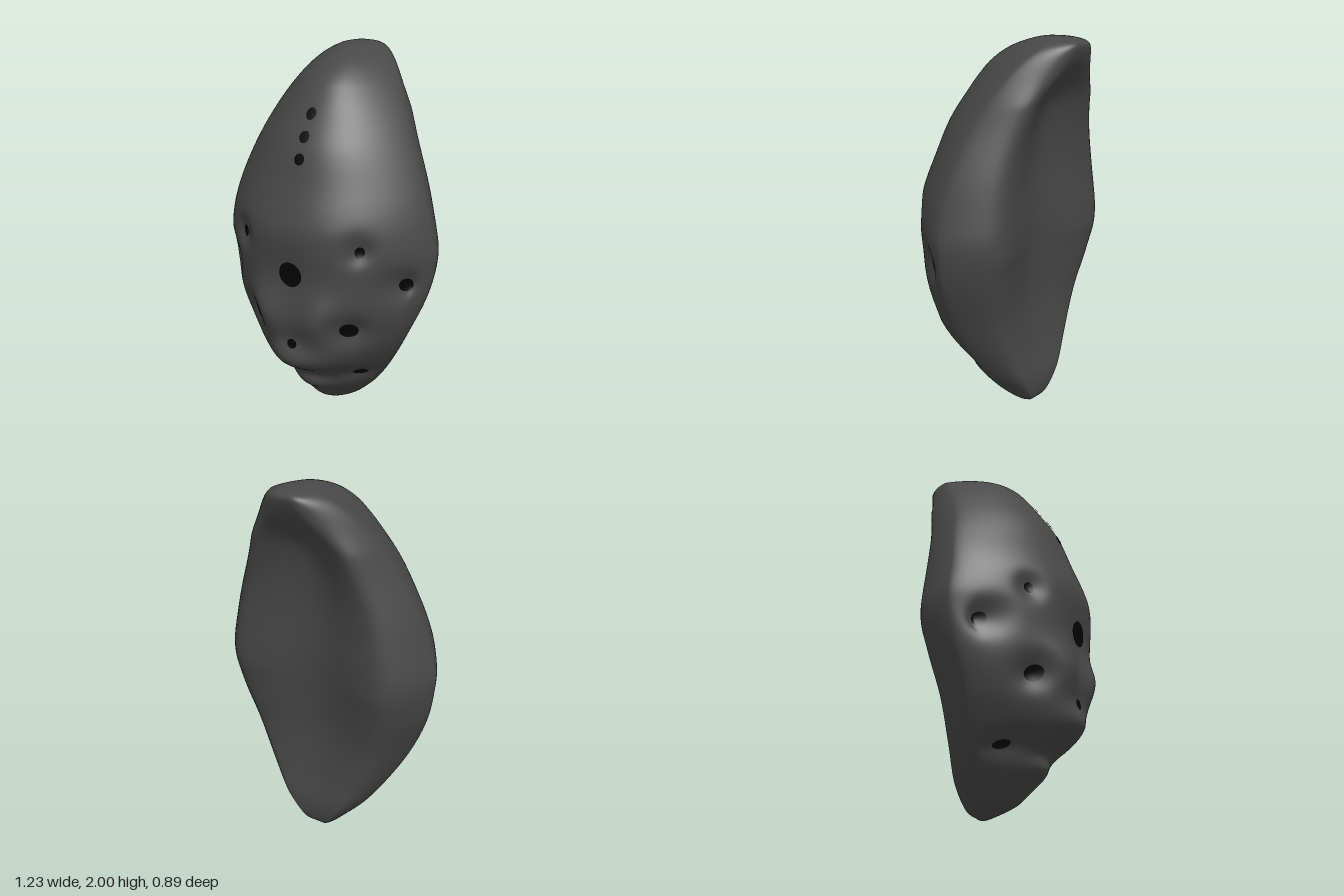
import * as THREE from 'three';

// Smooth curve through [y, value] pairs, eased so that both tips round off
const angle = y => Math.acos(Math.min(1, Math.max(-1, 1 - y)));
function profile(points) {
  const a = points.map(p => angle(p[0])), v = points.map(p => p[1]), n = a.length;
  const slope = i => {
    const lo = Math.max(0, i - 1), hi = Math.min(n - 1, i + 1);
    return (v[hi] - v[lo]) / (a[hi] - a[lo]);
  };
  return y => {
    const s = angle(y);
    let i = 0;
    while (i < n - 2 && s > a[i + 1]) i++;
    const h = a[i + 1] - a[i], t = (s - a[i]) / h, t2 = t * t, t3 = t2 * t;
    return (2 * t3 - 3 * t2 + 1) * v[i] + (t3 - 2 * t2 + t) * h * slope(i)
      + (3 * t2 - 2 * t3) * v[i + 1] + (t3 - t2) * h * slope(i + 1);
  };
}

// Half width, front centre line, rear rim and hollow centre line by height
const halfWidth = profile([[0, 0], [0.02, 0.075], [0.08, 0.15], [0.185, 0.255], [0.33, 0.36], [0.52, 0.47],
  [0.76, 0.575], [0.96, 0.615], [1.08, 0.605], [1.31, 0.545], [1.61, 0.415], [1.79, 0.315], [1.93, 0.2], [1.98, 0.115], [2, 0]]);
const frontLine = profile([[0, -0.13], [0.02, -0.07], [0.07, 0.06], [0.14, 0.125], [0.2, 0.17], [0.3, 0.235], [0.4, 0.315],
  [0.5, 0.38], [0.62, 0.407], [0.82, 0.415], [1.08, 0.44], [1.18, 0.43], [1.37, 0.36], [1.555, 0.29], [1.7, 0.2],
  [1.8, 0.13], [1.86, 0.078], [1.93, -0.02], [1.98, -0.15], [2, -0.28]]);
const rimLine = profile([[0, -0.14], [0.03, -0.19], [0.15, -0.21], [0.33, -0.195], [0.55, -0.195], [0.785, -0.235],
  [0.94, -0.265], [1.29, -0.265], [1.5, -0.285], [1.71, -0.34], [1.87, -0.415], [1.95, -0.445], [1.98, -0.43], [2, -0.32]]);
const hollowLine = profile([[0, -0.14], [0.03, -0.19], [0.15, -0.205], [0.33, -0.18], [0.6, -0.165], [1, -0.195],
  [1.4, -0.205], [1.65, -0.255], [1.8, -0.355], [1.87, -0.412], [1.95, -0.445], [1.98, -0.43], [2, -0.32]]);
const sideLine = y => rimLine(y) + 0.37 * (frontLine(y) - rimLine(y));

// Openings: x, y, radius x, radius y, dimple depth
const openings = [
  [0, 0.915, 0.066, 0.068, 0.015], [0, 0.525, 0.028, 0.026, 0.01],
  [0, 1.5, 0.028, 0.028, 0], [0, 1.605, 0.028, 0.028, 0], [0, 1.71, 0.028, 0.028, 0],
];
for (const s of [-1, 1]) openings.push(
  [s * 0.34, 1.06, 0.022, 0.03, 0.045], [s * 0.51, 0.855, 0.027, 0.037, 0.065],
  [s * 0.277, 0.617, 0.037, 0.042, 0.075], [s * 0.24, 0.29, 0.028, 0.021, 0.035]);

// Soft lumps: x, y, spread x, spread y, height
const lumps = [
  [0, 0.405, 0.14, 0.065, 0.098], [0, 0.3, 0.09, 0.03, -0.01], [0, 0.205, 0.085, 0.034, 0.043],
  [-0.18, 0.67, 0.09, 0.1, 0.06], [0.18, 0.67, 0.09, 0.1, 0.06],
  ...openings.filter(o => o[4]).map(([x, y, rx, ry, d]) => [x, y, rx * 1.2 + 0.018, ry * 1.2 + 0.015, -d]),
];

// Depth of the domed front at any x, y
function frontZ(x, y) {
  const w = Math.max(halfWidth(y), 1e-5), zs = sideLine(y);
  const k = Math.max(0, 1 - Math.abs(x / w) ** 2.2);
  let bump = 0;
  for (const [cx, cy, sx, sy, h] of lumps)
    bump += h * Math.exp(-(((x - cx) / sx) ** 2 + ((y - cy) / sy) ** 2) / 2);
  return zs + (frontLine(y) - zs) * (0.65 * k + 0.35 * Math.sqrt(k)) + bump * Math.min(1, 4 * k);
}

// One closed horizontal section: domed front, rounded rim, shallow hollow back
function section(y) {
  const w = Math.max(halfWidth(y), 0), zs = sideLine(y), zr = rimLine(y), zc = hollowLine(y);
  const front = [], right = [];
  const edge = 0.68 - 0.38 * THREE.MathUtils.smoothstep(y, 1.66, 1.95);
  for (let i = 0; i <= 90; i++) {
    const x = w * Math.sin((i / 90 - 0.5) * Math.PI);
    front.push([x, frontZ(x, y)]);
  }
  for (let i = 1; i <= 12; i++) {
    const t = i / 12 * Math.PI / 2, s = Math.sin(t);
    right.push([w * (edge + (1 - edge) * Math.cos(t)), zs + (zr - zs) * s * (0.35 + 0.65 * s)]);
  }
  for (let i = 1; i <= 12; i++) {
    const t = i / 12;
    right.push([w * edge * (1 - t), zr + (zc - zr) * (0.5 - 0.5 * Math.cos(Math.PI * t))]);
  }
  const left = right.slice(0, -1).reverse().map(([x, z]) => [-x, z]);
  return [...front, ...right, ...left];
}

function shellGeometry(rows) {
  const pos = [], index = [];
  let n = 0;
  for (let j = 0; j <= rows; j++) {
    const y = 1 - Math.cos(Math.PI * j / rows), ring = section(y);
    n = ring.length;
    for (const [x, z] of ring) pos.push(x, y, z);
  }
  for (let j = 0; j < rows; j++) for (let i = 0; i < n; i++) {
    const a = j * n + i, b = j * n + (i + 1) % n;
    index.push(a, b, b + n, a, b + n, a + n);
  }
  return finish(pos, index);
}

// Thin patch that follows the front surface
function openingGeometry([cx, cy, rx, ry]) {
  const pos = [cx, cy, frontZ(cx, cy) + 0.007], index = [], sides = 24, rings = 4;
  for (let r = 1; r <= rings; r++) for (let i = 0; i < sides; i++) {
    const t = i / sides * Math.PI * 2;
    const x = cx + rx * r / rings * Math.cos(t), y = cy + ry * r / rings * Math.sin(t);
    pos.push(x, y, frontZ(x, y) + 0.007);
  }
  for (let i = 0; i < sides; i++) {
    const k = (i + 1) % sides;
    index.push(0, 1 + i, 1 + k);
    for (let r = 0; r < rings - 1; r++) {
      const a = 1 + r * sides + i, b = 1 + r * sides + k;
      index.push(a, a + sides, b + sides, a, b + sides, b);
    }
  }
  return finish(pos, index);
}

function finish(pos, index) {
  const g = new THREE.BufferGeometry();
  g.setAttribute('position', new THREE.Float32BufferAttribute(pos, 3));
  g.setIndex(index);
  g.computeVertexNormals();
  return g;
}

export function createModel() {
  const charcoal = new THREE.MeshStandardMaterial({ color: 0x484848 });
  charcoal.name = 'charcoal';
  const black = new THREE.MeshStandardMaterial({ color: 0x040404 });
  black.name = 'black';

  const model = new THREE.Group();
  model.name = 'mask';
  const shell = new THREE.Mesh(shellGeometry(180), charcoal);
  shell.name = 'shell';
  model.add(shell);

  const holes = new THREE.Group();
  holes.name = 'openings';
  for (const o of openings) {
    const hole = new THREE.Mesh(openingGeometry(o), black);
    hole.name = 'opening';
    holes.add(hole);
  }
  model.add(holes);
  return model;
}
